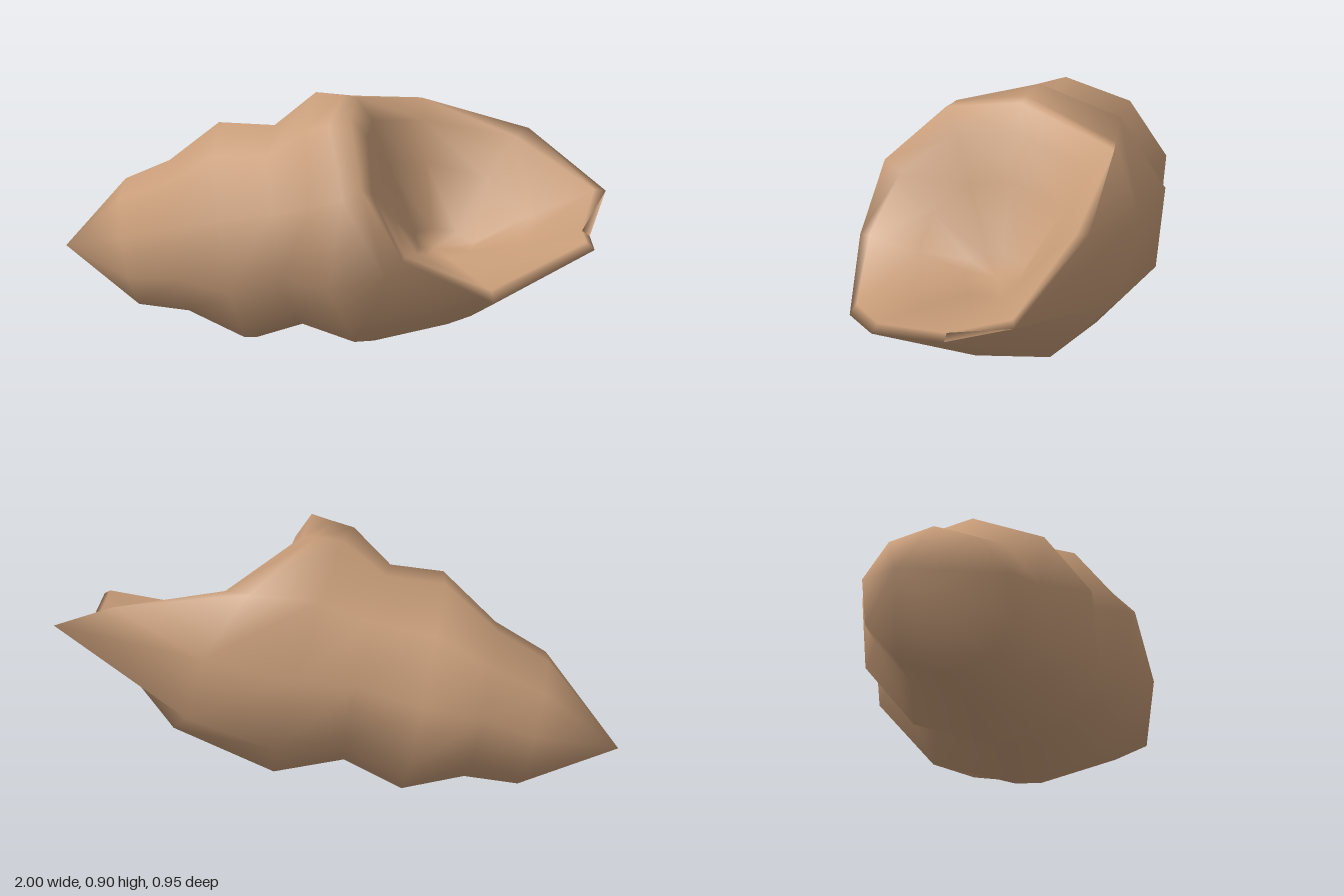
import * as THREE from 'three';

const SIDES = 10;
const V = (p) => new THREE.Vector3(...p);

// Tilted body rings: top [x,y], bottom [x,y], back [x,z], front [x,z]
const BODY = [
  [[-0.73, 0.55], [-0.64, 0.08], [-0.74, -0.23], [-0.65, 0.23]],
  [[-0.55, 0.63], [-0.44, 0.075], [-0.57, -0.26], [-0.45, 0.275]],
  [[-0.35, 0.78], [-0.21, 0.0], [-0.39, -0.365], [-0.22, 0.395]],
  [[-0.15, 0.78], [-0.02, 0.075], [-0.15, -0.34], [-0.04, 0.365]],
  [[0.0, 0.9], [0.22, 0.02], [0.04, -0.475], [0.14, 0.455]],
];

// Flared shoulder just behind the mouth, from the top round by the front
const SHOULDER = [
  [0.09, 0.895, 0], [0.12, 0.84, 0.26], [0.22, 0.62, 0.45], [0.37, 0.38, 0.465], [0.54, 0.2, 0.3],
  [0.56, 0.145, 0.01], [0.55, 0.19, -0.25], [0.42, 0.36, -0.43], [0.33, 0.63, -0.475], [0.2, 0.83, -0.35],
].map(V);

// Uneven rim of the mouth
const RIM = [
  [0.14, 0.89, 0], [0.19, 0.86, 0.25], [0.28, 0.67, 0.445], [0.43, 0.45, 0.478], [0.71, 0.31, 0.39],
  [0.995, 0.455, 0.17], [0.95, 0.445, -0.05], [0.97, 0.555, -0.285], [0.67, 0.74, -0.415], [0.28, 0.84, -0.37],
].map(V);

// Rounded lip at each rim point: [inset towards the bowl floor, swell upwards]
const LIP = [
  [0.2, 0], [0.19, 0], [0.14, 0], [0.07, 0.01], [0.05, 0.035],
  [0.05, 0.025], [0.05, 0.02], [0.07, 0.015], [0.13, 0.01], [0.2, 0],
];

function bodyRing([top, bottom, back, front]) {
  const cx = (top[0] + bottom[0] + back[0] + front[0]) / 4;
  const cy = (top[1] + bottom[1]) / 2, cz = (front[1] + back[1]) / 2;
  const hy = (top[1] - bottom[1]) / 2, hz = (front[1] - back[1]) / 2 / Math.sin(0.4 * Math.PI);
  return Array.from({ length: SIDES }, (_, k) => {
    const a = (k / SIDES) * Math.PI * 2, c = Math.cos(a), s = Math.sin(a);
    return new THREE.Vector3(
      cx + c * (top[0] - bottom[0]) / 2 + s * (front[0] - back[0]) / 2,
      cy + c * hy,
      cz + s * hz + Math.max(0, -c) * 0.015); // underside leans forward
  });
}

// Rim point drawn in towards the bottom of the bowl
function inset(p, centre, inward, down, lift) {
  return new THREE.Vector3(
    THREE.MathUtils.lerp(p.x, centre.x, inward),
    THREE.MathUtils.lerp(p.y, centre.y, down) + lift,
    THREE.MathUtils.lerp(p.z, centre.z, inward));
}

// Skin over a chain of rings, closed by a point at each end
function skin(start, rings, end) {
  const points = [start, ...rings.flat(), end];
  const index = [];
  const at = (r, k) => 1 + r * SIDES + (k % SIDES);
  const final = rings.length - 1;
  for (let k = 0; k < SIDES; k++) {
    index.push(0, at(0, k + 1), at(0, k));
    for (let r = 0; r < final; r++) {
      const a = at(r, k), b = at(r, k + 1), c = at(r + 1, k), d = at(r + 1, k + 1);
      index.push(a, b, c, b, d, c);
    }
    index.push(at(final, k), at(final, k + 1), points.length - 1);
  }
  const geometry = new THREE.BufferGeometry().setFromPoints(points);
  geometry.setIndex(index);
  geometry.computeVertexNormals();
  return geometry;
}

export function createModel() {
  const group = new THREE.Group();
  const tan = new THREE.MeshStandardMaterial({ color: 0xc89d79 });
  tan.name = 'tan';

  // Ridged body, rounded lip and scooped bowl as one smooth skin
  const floor = new THREE.Vector3(0.42, 0.37, -0.02);
  const rings = [
    ...BODY.map(bodyRing), SHOULDER, RIM,
    RIM.map((p, k) => inset(p, floor, LIP[k][0], LIP[k][0] * 0.75, LIP[k][1])),
    RIM.map((p, k) => inset(p, floor, 0.42, 0.45, LIP[k][1] * 0.6)),
    RIM.map((p) => inset(p, floor, 0.76, 0.9, 0)),
  ];
  const shell = new THREE.Mesh(skin(new THREE.Vector3(-1, 0.27, -0.03), rings, floor), tan);
  shell.name = 'shell';
  group.add(shell);
  return group;
}
